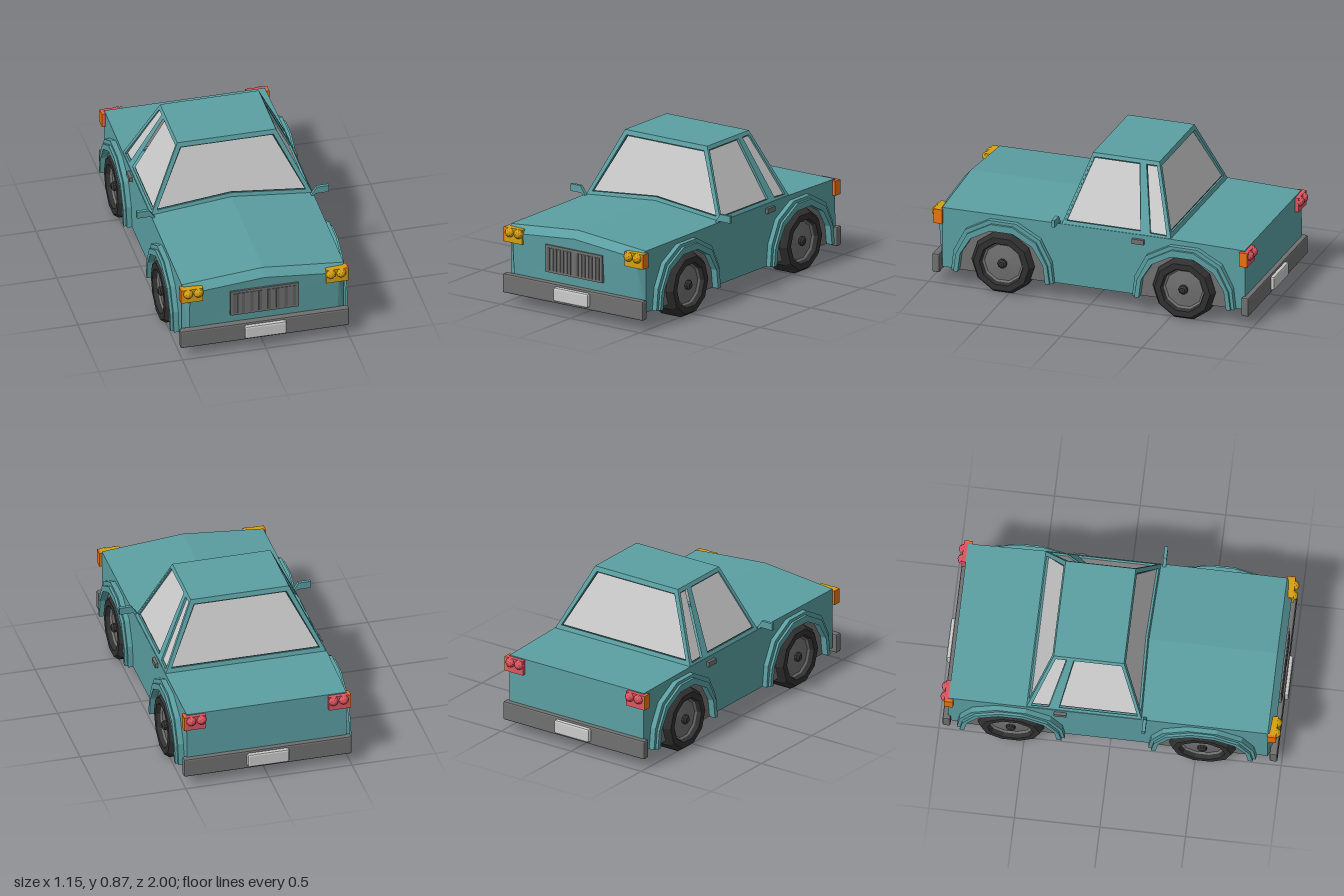
import * as THREE from 'three';
import { RoundedBoxGeometry } from 'three/addons/geometries/RoundedBoxGeometry.js';

const mat = (color, side = THREE.FrontSide) =>
  new THREE.MeshStandardMaterial({ color, flatShading: true, side });
const paint = mat(0x5b9fa2), dark = mat(0x353535), rubber = mat(0x303030), grey = mat(0x707070);
const glass = mat(0xcccccc, THREE.DoubleSide), seal = mat(0x2c3c3e), silver = mat(0xbcbcbc);
const yellow = mat(0xd6a010), red = mat(0xde5560), orange = mat(0xea7410);

function add(parent, name, geometry, material, x = 0, y = 0, z = 0) {
  const mesh = new THREE.Mesh(geometry, material);
  mesh.name = name;
  mesh.position.set(x, y, z);
  parent.add(mesh);
  return mesh;
}
const box = (w, h, d) => new THREE.BoxGeometry(w, h, d);
const shapeOf = pts => new THREE.Shape(pts.map(p => new THREE.Vector2(p[0], p[1])));
const extrude = (shape, depth) => new THREE.ExtrudeGeometry(shape, { depth, bevelEnabled: false });

// Lower body: five-point cross-sections with a crowned top, lofted from back to front
function bodyGeometry() {
  // z at top, z at bottom, half width, edge height, centre height
  const stations = [
    [-0.945, -0.95, 0.48, 0.468, 0.468],
    [-0.49, -0.49, 0.485, 0.478, 0.478],
    [0.18, 0.18, 0.485, 0.476, 0.518],
    [0.92, 0.92, 0.485, 0.472, 0.515],
    [0.96, 0.935, 0.445, 0.43, 0.47],
  ];
  const pos = [], index = [], n = 5;
  for (const [z, zb, w, ye, yc] of stations)
    pos.push(-w, 0.1, zb, w, 0.1, zb, w, ye, z, 0, yc, z, -w, ye, z);
  for (let s = 0; s < stations.length - 1; s++)
    for (let i = 0; i < n; i++) {
      const a = s * n + i, b = s * n + (i + 1) % n;
      index.push(a, b, b + n, a, b + n, a + n);
    }
  const f = (stations.length - 1) * n;
  for (let i = 1; i < n - 1; i++) {
    index.push(0, i + 1, i);
    index.push(f, f + i, f + i + 1);
  }
  const g = new THREE.BufferGeometry();
  g.setAttribute('position', new THREE.Float32BufferAttribute(pos, 3));
  g.setIndex(index);
  g.computeVertexNormals();
  return g;
}

// Sloping cabin wall with recessed windows; points are (distance along wall, height)
function cabinWall(parent, name, angle, out0, out1, outline, windows) {
  const y0 = 0.47, rise = 0.4;
  const stretch = Math.hypot(rise, out0 - out1) / rise;
  const flat = pts => pts.map(([h, y]) => [h, (y - y0) * stretch]);
  const wall = new THREE.Group();
  wall.name = name;
  const u = new THREE.Vector3(Math.cos(angle), 0, -Math.sin(angle));
  const n0 = new THREE.Vector3(Math.sin(angle), 0, Math.cos(angle));
  const v = n0.clone().multiplyScalar(out1 - out0).setY(rise).normalize();
  const m = new THREE.Matrix4().makeBasis(u, v, u.clone().cross(v));
  m.setPosition(n0.x * out0, y0, n0.z * out0);
  wall.applyMatrix4(m);
  const frame = shapeOf(flat(outline));
  for (const w of windows) {
    const pts = flat(w);
    frame.holes.push(shapeOf(pts));
    add(wall, 'windowSeal', new THREE.ShapeGeometry(shapeOf(pts)), seal, 0, 0, -0.015);
    const c = [0, 1].map(k => pts.reduce((t, p) => t + p[k], 0) / pts.length);
    const pane = pts.map(p => p.map((q, k) => q - Math.sign(q - c[k]) * Math.min(0.006, Math.abs(q - c[k]))));
    add(wall, 'windowGlass', new THREE.ShapeGeometry(shapeOf(pane)), glass, 0, 0, -0.011);
  }
  add(wall, 'windowFrame', extrude(frame, 0.02), paint, 0, 0, -0.02);
  parent.add(wall);
}

function buildCabin(parent) {
  const cabin = new THREE.Group();
  cabin.name = 'cabin';
  const end = [[-0.485, 0.47], [0.485, 0.47], [0.295, 0.87], [-0.295, 0.87]];
  cabinWall(cabin, 'windshieldWall', 0, 0.185, 0.058, end,
    [[[-0.445, 0.5], [0, 0.54], [0.445, 0.5], [0.278, 0.842], [-0.278, 0.842]]]);
  cabinWall(cabin, 'rearWindowWall', Math.PI, 0.492, 0.352, end,
    [[[-0.445, 0.503], [0.445, 0.503], [0.278, 0.842], [-0.278, 0.842]]]);
  for (const s of [1, -1]) {
    const map = pts => pts.map(([z, y]) => [-s * z, y]);
    cabinWall(cabin, 'sideWindowWall', s * Math.PI / 2, 0.485, 0.295,
      map([[0.185, 0.47], [-0.492, 0.47], [-0.352, 0.87], [0.058, 0.87]]),
      [map([[0.165, 0.497], [-0.3, 0.497], [-0.235, 0.848], [0.052, 0.848]]),
        map([[-0.36, 0.493], [-0.462, 0.49], [-0.34, 0.848], [-0.275, 0.848]])]);
  }
  add(cabin, 'roof', box(0.59, 0.02, 0.41), paint, 0, 0.86, -0.147);
  parent.add(cabin);
}

// Wheel: ten-sided tyre with dished hub, axis along x, outer face towards s
function buildWheel(parent, s, z) {
  const wheel = new THREE.Group();
  wheel.name = 'wheel';
  const turned = pts => new THREE.LatheGeometry(pts.map(p => new THREE.Vector2(p[0], p[1])), 10).rotateZ(-s * Math.PI / 2);
  add(wheel, 'tyre', turned([[0.001, -0.095], [0.165, -0.095], [0.193, -0.07], [0.193, 0.065], [0.172, 0.095], [0.135, 0.095], [0.125, 0.07]]), rubber);
  add(wheel, 'hub', turned([[0.13, 0.07], [0.115, 0.06], [0.001, 0.072]]), grey);
  add(wheel, 'hubCap', turned([[0.028, 0.055], [0.028, 0.085], [0.016, 0.095], [0.001, 0.095]]), dark);
  wheel.position.set(s * 0.436, 0.184, z);
  parent.add(wheel);
}

// Wheel arch: stepped flare around a grey well panel
function buildArch(parent, s, z) {
  const half = [[0.315, 0.1], [0.3, 0.23], [0.23, 0.365], [0.085, 0.445]];
  const inner = [[0.27, 0.1], [0.255, 0.215], [0.19, 0.32], [0.07, 0.385]];
  const both = (pts, k = 0) => {
    const p = pts.map(([a, y]) => [a - k, y === 0.1 ? y : y - k]);
    return [...p, ...p.map(([a, y]) => [-a, y]).reverse()];
  };
  const ring = (outer, inn) => shapeOf([...outer, ...inn.slice().reverse()]);
  const arch = new THREE.Group();
  arch.name = 'wheelArch';
  const side = g => g.rotateY(s * Math.PI / 2);
  add(arch, 'archFlare', side(extrude(ring(both(half), both(inner)), 0.045)), paint, s * 0.47, 0, z);
  add(arch, 'archLip', side(extrude(ring(both(half, 0.018), both(inner)), 0.06)), paint, s * 0.47, 0, z);
  add(arch, 'wheelWell', side(extrude(shapeOf(both(inner)), 0.02)), grey, s * 0.47, 0, z);
  parent.add(arch);
}

// Lamp cluster: block, two round lamps and an orange side marker; e is the car end
function buildLamp(parent, s, e, material) {
  const lamp = new THREE.Group();
  lamp.name = e > 0 ? 'headlamp' : 'tailLamp';
  add(lamp, 'lampBlock', box(0.122, 0.088, 0.05), material, s * 0.43, 0.418, e * 0.944);
  add(lamp, 'sideMarker', box(0.014, 0.088, 0.052), orange, s * 0.494, 0.418, e * 0.943);
  for (const x of [0.396, 0.458])
    add(lamp, 'roundLamp', new THREE.IcosahedronGeometry(0.03, 1), material, s * x, 0.434, e * 0.965);
  parent.add(lamp);
}

export function createModel() {
  const car = new THREE.Group();
  car.name = 'car';
  add(car, 'body', bodyGeometry(), paint);
  add(car, 'underside', box(0.95, 0.006, 1.84), dark, 0, 0.1, -0.01);
  buildCabin(car);

  for (const s of [1, -1]) {
    for (const z of [0.54, -0.578]) {
      buildWheel(car, s, z);
      buildArch(car, s, z);
    }
    // Door mirror and handle
    const mirror = [[0.47, 0.46], [0.495, 0.487], [0.575, 0.487], [0.575, 0.53], [0.502, 0.53], [0.465, 0.475]];
    add(car, 'sideMirror', extrude(shapeOf(mirror.map(([x, y]) => [s * x, y])), 0.02), paint, 0, 0, 0.194);
    add(car, 'doorHandle', box(0.03, 0.03, 0.074), grey, s * 0.488, 0.437, -0.292);
  }

  // Bumpers, plates and lamps at both ends
  for (const e of [1, -1]) {
    add(car, 'bumper', new RoundedBoxGeometry(1.01, 0.117, 0.046, 1, 0.01), grey, 0, 0.123, e * 0.955);
    add(car, 'numberPlate', new RoundedBoxGeometry(0.25, 0.086, 0.036, 1, 0.012), silver, 0, 0.124, e * 0.982);
    for (const s of [1, -1]) buildLamp(car, s, e, e > 0 ? yellow : red);
  }

  // Grille with two banks of upright slats
  const grille = new THREE.Group();
  grille.name = 'grille';
  add(grille, 'grillePanel', box(0.408, 0.165, 0.03), grey, 0, 0.323, 0.952);
  for (const s of [1, -1])
    for (let i = 0; i < 7; i++)
      add(grille, 'grilleSlat', box(0.018, 0.136, 0.006), i % 2 ? grey : mat(0x606060), s * (0.027 + i * 0.0252), 0.322, 0.968);
  car.add(grille);
  return car;
}
